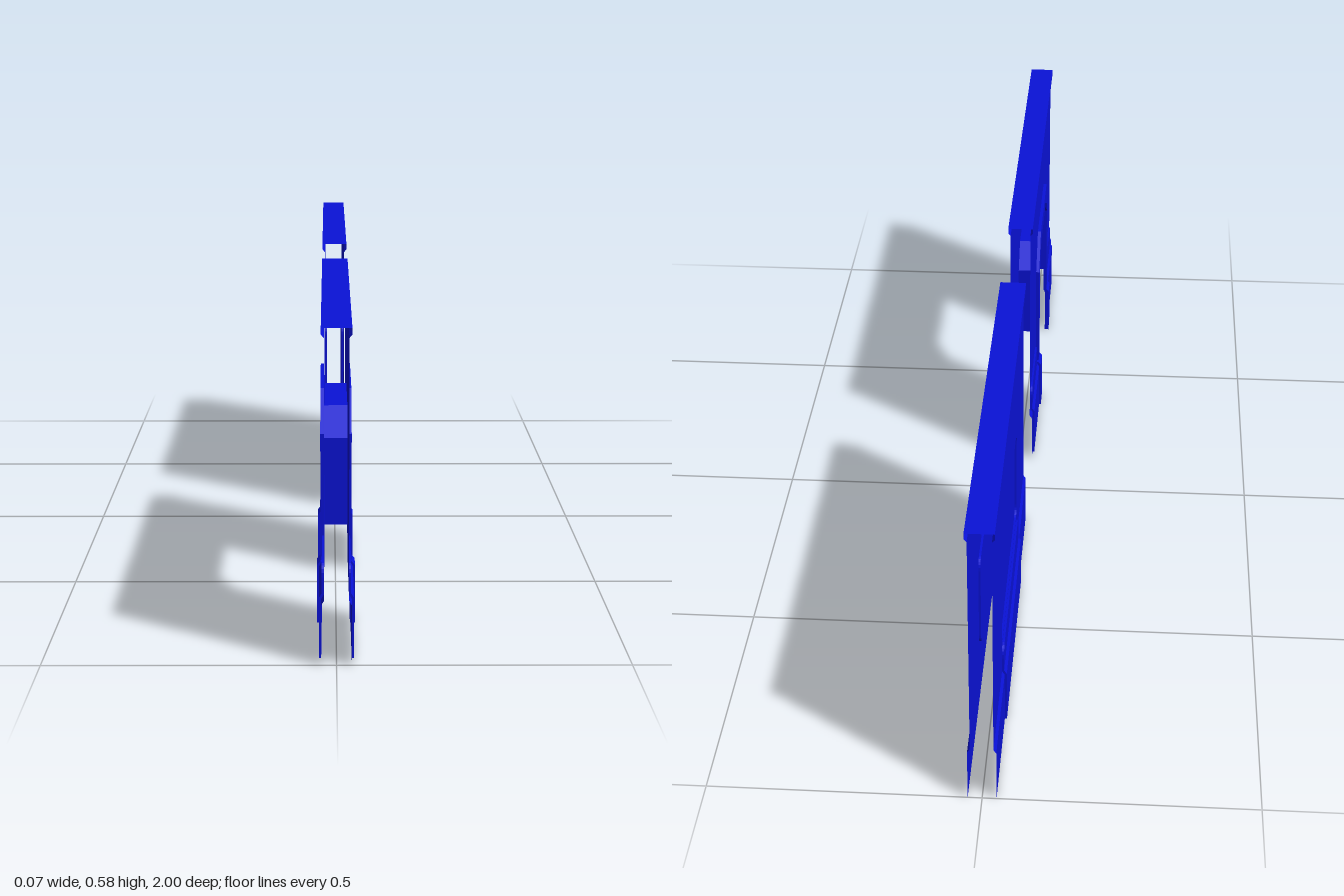
import * as THREE from 'three';

const SKIN = 0.021, SKIRT = 0.026, PAD = 0.004;
const SKIRT_TOP = 0.105, SKIN_FOOT = 0.113, SKIN_TOP = 0.56;
const mat = new THREE.MeshStandardMaterial({ color: 0x0a12d8, side: THREE.DoubleSide, flatShading: true });

function add(parent, geo, name) {
  const mesh = new THREE.Mesh(geo, mat);
  mesh.name = name;
  parent.add(mesh);
  return mesh;
}

const polygon = (pts) => new THREE.Shape(pts.map(([a, b]) => new THREE.Vector2(a, b)));

// Outline drawn in (z, y), laid flat at x
function plate(shape, x) {
  return new THREE.ShapeGeometry(shape, 6).rotateY(-Math.PI / 2).translate(x, 0, 0);
}

// Outline drawn in (z, y), thickened from x0 out to x1
function slab(shape, x0, x1) {
  return new THREE.ExtrudeGeometry(shape, { depth: x1 - x0, bevelEnabled: false, curveSegments: 6 })
    .rotateY(-Math.PI / 2).translate(x1, 0, 0);
}

// Closed section in (x, y), extruded from z0 to z1
function prism(pts, z0, z1) {
  return new THREE.ExtrudeGeometry(polygon(pts), { depth: z1 - z0, bevelEnabled: false }).translate(0, 0, z0);
}

// Open strip joining two matching lines of 3D points
function ribbon(a, b) {
  const pos = [], idx = [];
  a.forEach((p, i) => {
    pos.push(...p, ...b[i]);
    if (i) idx.push(2 * i - 2, 2 * i - 1, 2 * i, 2 * i - 1, 2 * i + 1, 2 * i);
  });
  const g = new THREE.BufferGeometry();
  g.setAttribute('position', new THREE.Float32BufferAttribute(pos, 3));
  g.setIndex(idx);
  g.computeVertexNormals();
  return g;
}

// Open (x, y) line swept along z
const sweep = (pts, z0, z1) => ribbon(pts.map(([x, y]) => [x, y, z0]), pts.map(([x, y]) => [x, y, z1]));

// Rectangle with rounded top, and optionally rounded bottom corners
function rounded(z0, z1, y0, y1, r, rb = 0) {
  const s = new THREE.Shape();
  s.moveTo(z0 + rb, y0);
  s.lineTo(z1 - rb, y0);
  if (rb) s.quadraticCurveTo(z1, y0, z1, y0 + rb);
  s.lineTo(z1, y1 - r);
  s.quadraticCurveTo(z1, y1, z1 - r, y1);
  s.lineTo(z0 + r, y1);
  s.quadraticCurveTo(z0, y1, z0, y1 - r);
  s.lineTo(z0, y0 + rb);
  if (rb) s.quadraticCurveTo(z0, y0, z0 + rb, y0);
  return s;
}

function skirt(side, z0, z1) {
  add(side, sweep([[SKIRT, 0], [SKIRT, SKIRT_TOP], [SKIN, SKIN_FOOT]], z0, z1), 'skirting');
}

// Raised pad that follows the skirting and ends in rounded corners above it
function pad(side, z0, z1) {
  add(side, prism([[SKIRT, 0], [SKIRT + PAD, 0], [SKIRT + PAD, SKIRT_TOP + 0.002], [SKIN + PAD, SKIN_FOOT + 0.002],
    [SKIN, SKIN_FOOT + 0.002], [SKIN, SKIN_FOOT], [SKIRT, SKIRT_TOP]], z0, z1), 'padLower');
  add(side, slab(rounded(z0, z1, SKIN_FOOT + 0.002, 0.168, 0.025), SKIN, SKIN + PAD), 'padUpper');
}

// Top capping, open underneath and at the ends
function cap(parent, z0, z1) {
  add(parent, sweep([[SKIN, SKIN_TOP], [0.026, 0.566], [0.026, 0.577], [-0.026, 0.577],
    [-0.026, 0.566], [-SKIN, SKIN_TOP]], z0, z1), 'topCap');
}

// Builds one face on +x and its mirror on -x
function bothSides(parent, build) {
  for (const s of [1, -1]) {
    const side = new THREE.Group();
    side.name = s > 0 ? 'leftFace' : 'rightFace';
    side.scale.x = s;
    build(side);
    parent.add(side);
  }
}

// Doorway outline in (z, y)
const door = [[0.40, 0], [0.40, 0.33], [0.45, 0.38], [0.665, 0.38], [0.713, 0.33], [0.713, 0]];
const doorOuter = [[0.75, 0], [0.75, 0.345], [0.683, 0.415], [0.432, 0.415], [0.365, 0.345], [0.365, 0]];
const fromY = (pts, y0) => pts.map(([z, y]) => [z, Math.max(y, y0)]);

function doorPanel() {
  const g = new THREE.Group();
  g.name = 'doorPanel';
  bothSides(g, (side) => {
    const wall = polygon([[0.12, SKIN_FOOT], ...fromY(door, SKIN_FOOT), [1, SKIN_FOOT], [1, SKIN_TOP], [0.12, SKIN_TOP]]);
    add(side, plate(wall, SKIN), 'wallSkin');
    for (const [z0, z1] of [[0.12, 0.40], [0.713, 1]]) skirt(side, z0, z1);
    pad(side, 0.148, 0.347);
    pad(side, 0.765, 0.962);
    // Door trim with thicker feet
    add(side, slab(polygon([...fromY(door, SKIN_FOOT), ...fromY(doorOuter, SKIN_FOOT)]), SKIN, 0.028), 'doorTrim');
    for (const [z0, z1] of [[0.355, 0.40], [0.713, 0.76]])
      add(side, prism([[SKIRT - 0.001, 0], [0.034, 0], [0.034, 0.107], [0.028, 0.114], [SKIN, 0.114], [SKIRT - 0.001, 0.105]],
        z0, z1), 'doorTrimFoot');
  });
  // Lining of the doorway between the two faces
  const line = (x) => fromY(door, 0.17).map(([z, y]) => [x, y, z]);
  add(g, ribbon(line(SKIN), line(-SKIN)), 'doorLining');
  cap(g, 0.12, 1);
  return g;
}

function solidPanel() {
  const g = new THREE.Group();
  g.name = 'solidPanel';
  const z0 = -0.78, z1 = -0.35;
  bothSides(g, (side) => {
    const recess = rounded(z0, z1, 0.172, 0.362, 0.022, 0.022);
    const wall = polygon([[-1, SKIN_FOOT], [-0.12, SKIN_FOOT], [-0.12, SKIN_TOP], [-1, SKIN_TOP]]);
    wall.holes.push(recess);
    add(side, plate(wall, SKIN), 'wallSkin');
    // Shallow recessed field with its rim
    add(side, plate(recess, SKIN - PAD), 'recessFloor');
    const rim = recess.getPoints(6);
    add(side, ribbon(rim.map((p) => [SKIN, p.y, p.x]), rim.map((p) => [SKIN - PAD, p.y, p.x])), 'recessRim');
    skirt(side, -1, -0.12);
    pad(side, z0, z1);
  });
  cap(g, -1, -0.12);
  return g;
}

export function createModel() {
  const model = new THREE.Group();
  model.name = 'wallPanels';
  model.add(doorPanel(), solidPanel());
  return model;
}
